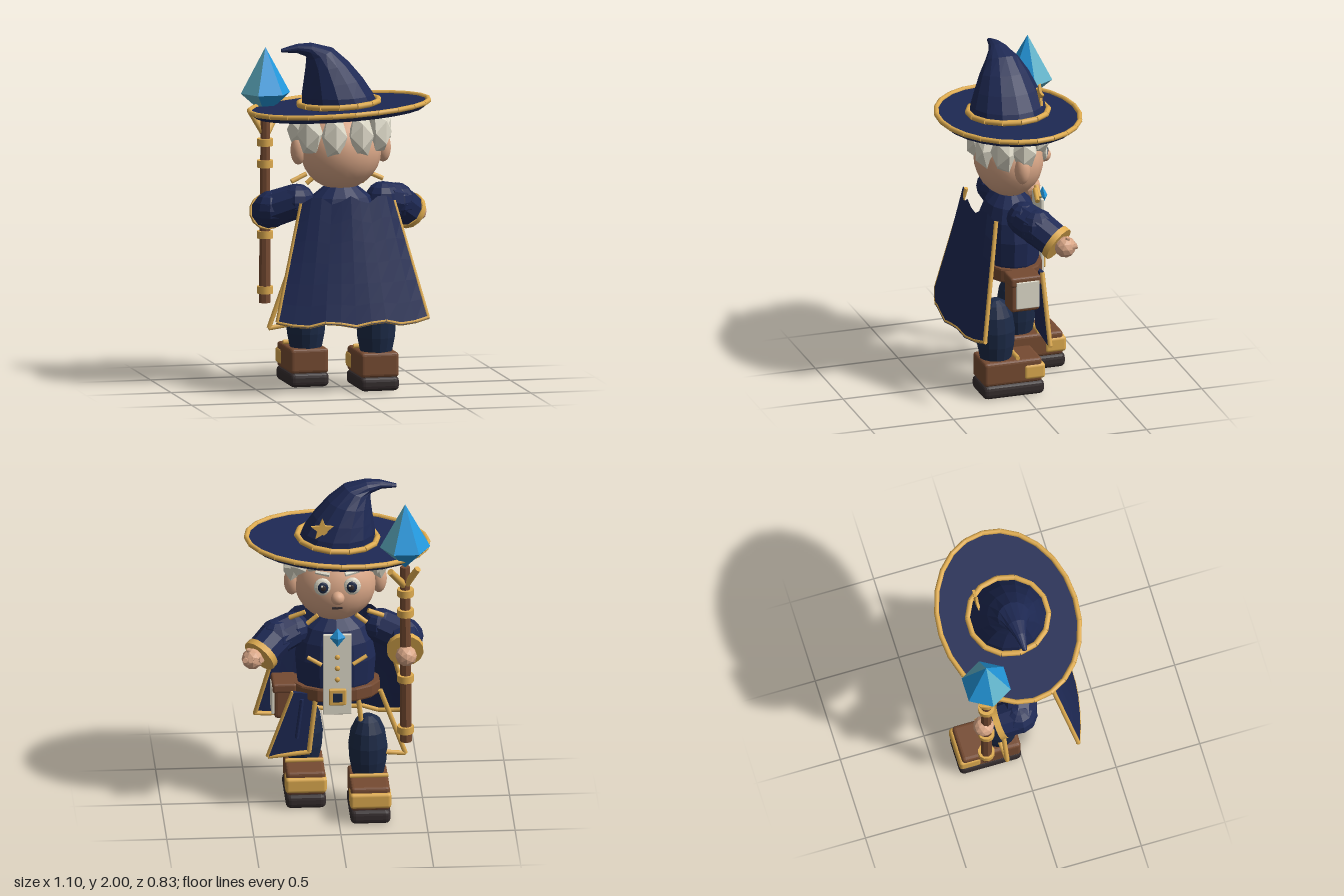
import * as THREE from 'three';
import { RoundedBoxGeometry } from 'three/addons/geometries/RoundedBoxGeometry.js';

const V = (x, y, z) => new THREE.Vector3(x, y, z);
const mat = (name, color, flatShading = true) => {
  const m = new THREE.MeshStandardMaterial({ color, flatShading });
  m.name = name;
  return m;
};

export function createModel() {
  const navy = mat('robe navy', 0x1e2954), pants = mat('trouser navy', 0x1c2a47), gold = mat('gold', 0xdfac50, false);
  const skin = mat('skin', 0xdba888, false), brown = mat('leather brown', 0x764b32), dark = mat('dark sole', 0x352d2e);
  const cream = mat('cream', 0xe0dccb), blue = mat('crystal blue', 0x2399de), teal = mat('crystal teal', 0x62b4ca);
  navy.side = THREE.DoubleSide;
  const root = new THREE.Group();
  root.name = 'wizard';

  const add = (name, geo, material, pos = [0, 0, 0], parent = root) => {
    const m = new THREE.Mesh(geo, material);
    m.name = name;
    m.position.set(...pos);
    parent.add(m);
    return m;
  };
  const ball = (name, material, pos, [rx, ry, rz], w = 14, h = 10) =>
    add(name, new THREE.SphereGeometry(1, w, h).scale(rx, ry, rz), material, pos);
  const box = (name, material, pos, [w, h, d], r = 0.012) =>
    add(name, new RoundedBoxGeometry(w, h, d, 2, r), material, pos);
  const lathe = pts => new THREE.LatheGeometry(pts.map(p => new THREE.Vector2(...p)), 14);
  // Tapered cylinder from a to b
  const limb = (name, a, b, ra, rb, material, sides = 8, parent = root) => {
    const m = add(name, new THREE.CylinderGeometry(rb, ra, a.distanceTo(b), sides), material, [0, 0, 0], parent);
    m.position.copy(a).lerp(b, 0.5);
    m.quaternion.setFromUnitVectors(V(0, 1, 0), b.clone().sub(a).normalize());
    return m;
  };
  const trim = (name, pts, r, parent = root) => {
    for (let i = 0; i + 1 < pts.length; i++) limb(name, pts[i], pts[i + 1], r, r, gold, 8, parent);
  };
  const ellipse = (rx, rz, y, n) => Array.from({ length: n + 1 }, (_, i) => {
    const t = i / n * Math.PI * 2;
    return V(rx * Math.cos(t), y, rz * Math.sin(t));
  });

  // Hat: tilted brim with segmented trim
  const brim = new THREE.Group();
  brim.name = 'hatBrim';
  brim.position.set(-0.01, 1.632, 0);
  brim.rotation.z = 0.052;
  root.add(brim);
  add('brim', new THREE.CylinderGeometry(0.525, 0.49, 0.038, 24).scale(1, 1, 0.77), navy, [0, -0.016, 0], brim);
  trim('brimTrim', ellipse(0.522, 0.4, 0.003, 24), 0.015, brim);
  trim('hatBand', ellipse(0.232, 0.232, 0.024, 14), 0.017, brim);

  // Hat crown: rings along a bent spine [x, y, radius, lean, depth]
  const spine = [[0, 1.62, 0.225, 0, 1], [-0.02, 1.70, 0.208, 0.02, 1.03], [-0.045, 1.78, 0.173, 0.08, 1.06],
    [-0.08, 1.87, 0.127, 0.15, 1.12], [-0.125, 1.94, 0.082, 0.4, 1.15], [-0.19, 1.965, 0.042, 1.2, 1.4],
    [-0.26, 1.974, 0.026, 1.5, 1.3], [-0.35, 1.963, 0.011, 1.7, 1.2], [-0.352, 1.963, 0.001, 1.7, 1]];
  const sides = 14, crownPos = [], crownIdx = [];
  spine.forEach(([x, y, r, lean, depth], k) => {
    for (let i = 0; i < sides; i++) {
      const t = i / sides * Math.PI * 2, u = r * Math.cos(t);
      crownPos.push(x + u * Math.cos(lean), y + u * Math.sin(lean), -r * Math.sin(t) * depth);
      if (k) {
        const j = (i + 1) % sides, a = (k - 1) * sides, b = k * sides;
        crownIdx.push(a + i, a + j, b + j, a + i, b + j, b + i);
      }
    }
  });
  const crown = new THREE.BufferGeometry();
  crown.setAttribute('position', new THREE.Float32BufferAttribute(crownPos, 3));
  crown.setIndex(crownIdx);
  crown.computeVertexNormals();
  add('hatCrown', crown, navy);
  const star = new THREE.Shape(Array.from({ length: 10 }, (_, i) => {
    const r = i % 2 ? 0.03 : 0.068, t = Math.PI / 2 + i * Math.PI / 5;
    return new THREE.Vector2(r * Math.cos(t), r * Math.sin(t));
  }));
  add('hatStar', new THREE.ExtrudeGeometry(star, { depth: 0.015, bevelEnabled: false }), gold, [0.085, 1.768, -0.167]);

  // Head and face
  ball('head', skin, [0, 1.375, 0], [0.236, 0.225, 0.198], 20, 14);
  ball('nose', skin, [0, 1.36, -0.215], [0.039, 0.039, 0.039]);
  add('mouth', new THREE.BoxGeometry(0.06, 0.01, 0.01), dark, [0, 1.285, -0.183]);
  for (const s of [-1, 1]) {
    ball('ear', skin, [s * 0.25, 1.385, 0], [0.046, 0.085, 0.045]);
    ball('eyeWhite', cream, [s * 0.085, 1.42, -0.182], [0.05, 0.054, 0.02]);
    ball('iris', pants, [s * 0.083, 1.42, -0.196], [0.031, 0.035, 0.012]);
    ball('pupil', dark, [s * 0.082, 1.42, -0.202], [0.018, 0.02, 0.009]);
    ball('eyeGlint', cream, [s * 0.08 + 0.01, 1.433, -0.209], [0.007, 0.007, 0.004], 6, 5);
    limb('eyebrow', V(s * 0.045, 1.495, -0.185), V(s * 0.125, 1.505, -0.165), 0.014, 0.01, cream, 6);
  }

  // Hair: hanging tufts round the back, small ones on the brow
  const tuft = (x, y, z, w, h, turn) => {
    const m = add('hairTuft', new THREE.IcosahedronGeometry(1, 0).scale(w, h, w * 0.8), cream, [x, y, z]);
    m.rotation.y = turn;
  };
  [[0.078, 0.17, 0.135], [0.205, 0.1, 0.13], [0.245, -0.015, 0.105]].forEach(([x, z, h], i) => {
    for (const s of [-1, 1]) tuft(s * x, 1.48 + i * 0.008, z, 0.08, h, s * i * 0.6);
  });
  for (const s of [-1, 1]) {
    tuft(s * 0.215, 1.535, -0.115, 0.065, 0.07, s);
    tuft(s * 0.135, 1.55, -0.15, 0.06, 0.048, s * 0.5);
    tuft(s * 0.047, 1.555, -0.165, 0.06, 0.045, s * 0.2);
  }

  // Torso and belt
  add('torso', lathe([[0.01, 0.69], [0.2, 0.69], [0.225, 0.78], [0.235, 0.92], [0.215, 1.03], [0.175, 1.11], [0.1, 1.17], [0.01, 1.185]])
    .scale(1, 1, 0.74), navy);
  add('belt', lathe([[0.2, 0.69], [0.24, 0.69], [0.245, 0.7], [0.245, 0.76], [0.24, 0.77], [0.2, 0.77]])
    .scale(1.06, 1, 0.74), brown);
  box('pouch', brown, [0.29, 0.66, 0.015], [0.13, 0.215, 0.175], 0.02);
  box('pouchFlap', brown, [0.295, 0.74, 0.015], [0.14, 0.06, 0.185], 0.015);
  box('pouchPatch', cream, [0.362, 0.66, 0.005], [0.016, 0.165, 0.14], 0.006);

  // Front panel, buttons, buckle and pendant
  box('frontPanel', cream, [0, 0.87, -0.178], [0.165, 0.5, 0.02], 0.006);
  for (const y of [0.84, 0.91, 0.98]) ball('button', gold, [0, y, -0.19], [0.016, 0.016, 0.012], 8, 6);
  box('buckle', gold, [0, 0.735, -0.197], [0.1, 0.1, 0.025], 0.008);
  box('buckleCentre', pants, [0, 0.735, -0.208], [0.055, 0.055, 0.009], 0.003);
  add('pendant', new THREE.OctahedronGeometry(1).scale(0.045, 0.058, 0.03), blue, [0, 1.11, -0.205]);
  for (const s of [-1, 1]) {
    trim('collarTrim', [V(s * 0.18, 1.23, -0.1), V(s * 0.27, 1.19, -0.085)], 0.014);
    trim('lapelTrim', [V(s * 0.11, 1.22, -0.13), V(s * 0.17, 1.17, -0.13)], 0.014);
    trim('chestTrim', [V(s * 0.09, 0.93, -0.18), V(s * 0.17, 0.97, -0.155)], 0.012);
  }

  // Front skirt flaps with gold edges
  for (const s of [-1, 1]) {
    const c = [V(s * 0.12, 0.73, -0.14), V(s * 0.16, 0.37, -0.14), V(s * 0.395, 0.34, -0.12), V(s * 0.25, 0.74, -0.12)];
    trim('flapTrim', c, 0.014);
    if (s < 0) continue;
    const flap = new THREE.Shape(c.map(p => new THREE.Vector2(p.x, p.y)));
    add('skirtFlap', new THREE.ExtrudeGeometry(flap, { depth: 0.025, bevelEnabled: false }), navy, [0, 0, -0.133]);
    limb('flapPleat', V(0.2, 0.7, -0.14), V(0.23, 0.46, -0.14), 0.012, 0.012, navy);
  }

  // Arms: left reaches out, right holds the staff
  const hand = (x, y, z) => {
    const g = new THREE.IcosahedronGeometry(0.062, 1);
    g.computeVertexNormals();
    add('hand', g, skin, [x, y, z]);
  };
  const cuff = (a, b) => {
    const d = b.clone().sub(a).normalize();
    limb('cuff', b.clone().addScaledVector(d, -0.022), b.clone().addScaledVector(d, 0.015), 0.106, 0.106, gold, 14);
  };
  const arm = (a, b, c) => {
    ball('shoulder', navy, a.toArray(), [0.105, 0.1, 0.1], 10, 8);
    limb('upperSleeve', a, b, 0.1, 0.105, navy, 10);
    ball('elbow', navy, b.toArray(), [0.108, 0.108, 0.108], 10, 8);
    limb('lowerSleeve', b, c, 0.105, 0.1, navy, 10);
    cuff(b, c);
  };
  arm(V(0.25, 1.085, -0.01), V(0.34, 1.06, -0.06), V(0.437, 0.99, -0.145));
  hand(0.488, 0.98, -0.178);
  for (let i = 0; i < 4; i++)
    limb('finger', V(0.45 + i * 0.025, 0.985, -0.2), V(0.437 + i * 0.032, 0.995, -0.238), 0.016, 0.015, skin, 8);
  limb('thumb', V(0.5, 1.0, -0.18), V(0.51, 1.045, -0.19), 0.018, 0.014, skin, 8);
  arm(V(-0.26, 1.09, 0), V(-0.395, 1.04, -0.05), V(-0.39, 1.01, -0.17));
  hand(-0.39, 1.01, -0.26);

  // Staff with rings and two prongs
  limb('staff', V(-0.39, 0.47, -0.243), V(-0.385, 1.56, -0.243), 0.034, 0.028, brown, 8);
  for (const y of [0.545, 0.865, 1.275, 1.4])
    add('staffRing', new THREE.CylinderGeometry(0.048, 0.048, 0.042, 12), gold, [-0.387, y, -0.243]);
  for (const [x, z] of [[-0.295, -0.325], [-0.455, -0.29]])
    limb('prong', V(-0.385, 1.44, -0.243), V(x, 1.565, z), 0.023, 0.02, gold, 8);

  // Crystal: six-sided, with two pale sides
  for (let i = 0; i < 6; i++) {
    const p = t => V(0.145 * Math.cos(t), 0, 0.145 * Math.sin(t));
    const a = p(i * Math.PI / 3), b = p((i + 1) * Math.PI / 3), top = V(0, 0.265, 0), low = V(0, -0.13, 0);
    const g = new THREE.BufferGeometry().setFromPoints([a, top, b, a, b, low]);
    g.computeVertexNormals();
    add('crystalFacet', g, i === 2 || i === 5 ? teal : blue, [-0.385, 1.685, -0.243]);
  }

  // Legs and boots, the right one stepping forward
  for (const [x, z] of [[0.175, 0.06], [-0.18, -0.185]]) {
    add('leg', lathe([[0.088, 0.21], [0.108, 0.31], [0.114, 0.4], [0.1, 0.49], [0.07, 0.555], [0.03, 0.58], [0.001, 0.583]]),
      pants, [x, 0, z + 0.078]);
    trim('bootStrap', [V(x - 0.11, 0.243, z - 0.022), V(x + 0.11, 0.243, z - 0.022)], 0.013);
    box('bootSole', dark, [x, 0.048, z], [0.232, 0.085, 0.37], 0.03);
    box('boot', brown, [x, 0.157, z + 0.005], [0.225, 0.145, 0.35], 0.02);
    box('toeCap', gold, [x, 0.15, z - 0.123], [0.238, 0.094, 0.13], 0.02);
  }

  // Cape: curved sheet with a waved hem, edged on the inside
  const cols = 10, rows = 6;
  const capePoint = (u, v) => {
    const s = u * 2 - 1, bow = 1 - s * s;
    const top = 1.12 + 0.025 * Math.cos(s * 9), hem = 0.415 + 0.014 * Math.cos(s * 9.4 + Math.PI);
    return V(s * (0.275 + 0.175 * v), top + (hem - top) * v, 0.175 + 0.125 * v + bow * (0.073 + 0.014 * v));
  };
  const cape = new THREE.PlaneGeometry(1, 1, cols, rows), cp = cape.attributes.position;
  for (let i = 0; i < cp.count; i++) {
    const p = capePoint(cp.getX(i) + 0.5, 0.5 - cp.getY(i));
    cp.setXYZ(i, p.x, p.y, p.z);
  }
  cape.computeVertexNormals();
  add('cape', cape, navy);
  const edge = (name, n, u, v) => trim(name, Array.from({ length: n + 1 }, (_, i) =>
    capePoint(u(i / n), v(i / n)).add(V(0, 0, -0.011))), 0.013);
  for (const u of [0.007, 0.993]) edge('capeEdge', 2, () => u, t => t * 0.99);
  edge('capeHem', cols, t => t, () => 0.99);
  return root;
}
